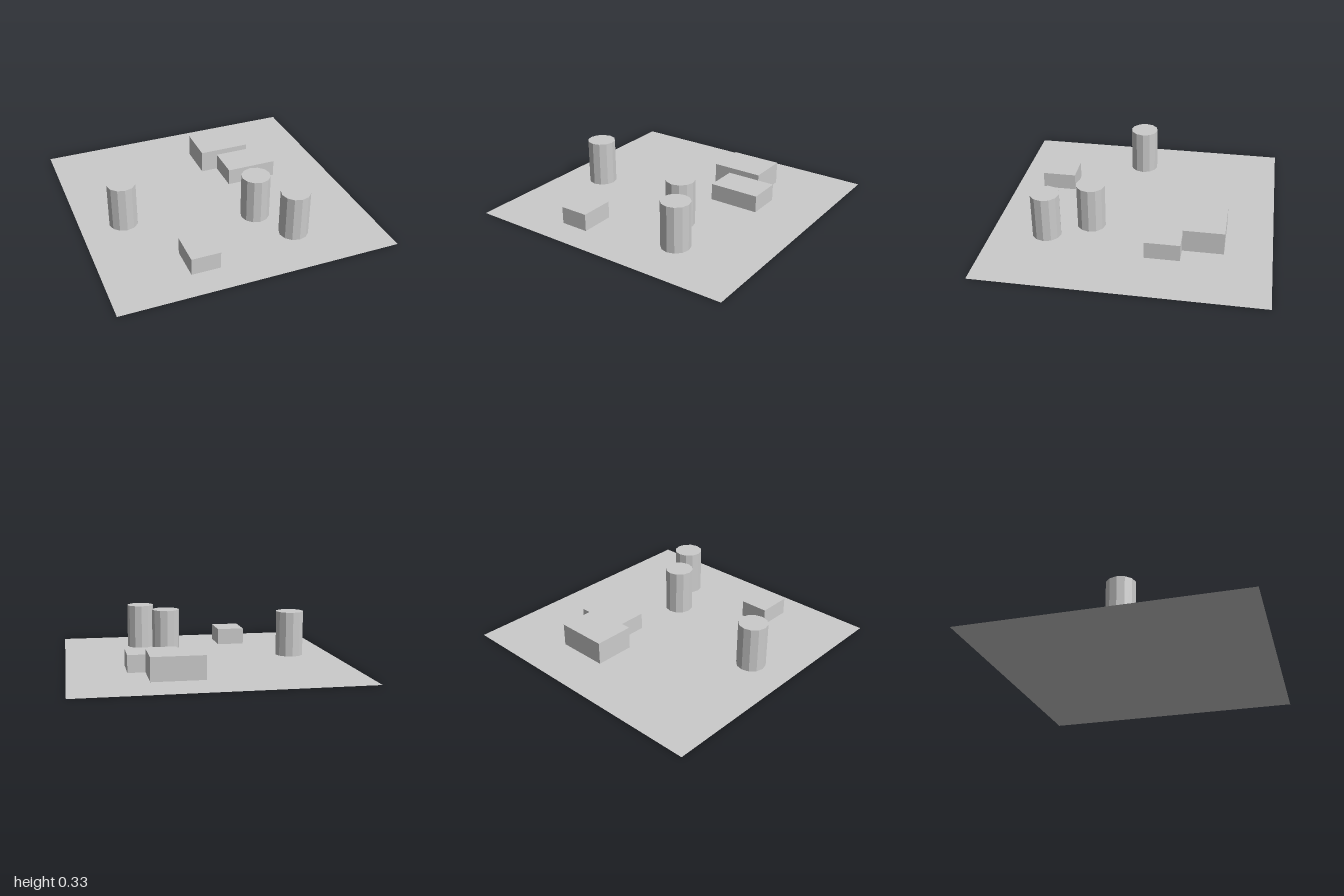
import * as THREE from 'three';

const U = 1 / 24; // layout grid unit

export function createModel() {
  const group = new THREE.Group();
  const material = new THREE.MeshStandardMaterial({ color: 0xcccccc, flatShading: true });

  const add = (name, geometry, x, y, z, mat = material) => {
    const mesh = new THREE.Mesh(geometry, mat);
    mesh.name = name;
    mesh.position.set(x * U, y * U, z * U);
    group.add(mesh);
  };

  // Ground sheet, visible from both sides
  const sheet = material.clone();
  sheet.side = THREE.DoubleSide;
  add('ground', new THREE.PlaneGeometry(2, 2).rotateX(-Math.PI / 2), 0, 0, 0, sheet);

  // Upright twelve-sided barrels: centre x, z
  const barrel = new THREE.CylinderGeometry(2.5 * U, 2.5 * U, 8 * U, 12);
  [[-16.5, 1.5], [5.5, 7.5], [9.5, 14.5]].forEach(([x, z], i) =>
    add(`barrel${i + 1}`, barrel, x, 4, z));

  // Low crates: centre x, z, then width, height, depth
  [
    [6.5, -12.5, 9, 4, 7],
    [9.5, -6, 9, 3, 6],
    [-8, 16, 5, 3, 6],
  ].forEach(([x, z, w, h, d], i) =>
    add(`crate${i + 1}`, new THREE.BoxGeometry(w * U, h * U, d * U), x, h / 2, z));

  return group;
}
